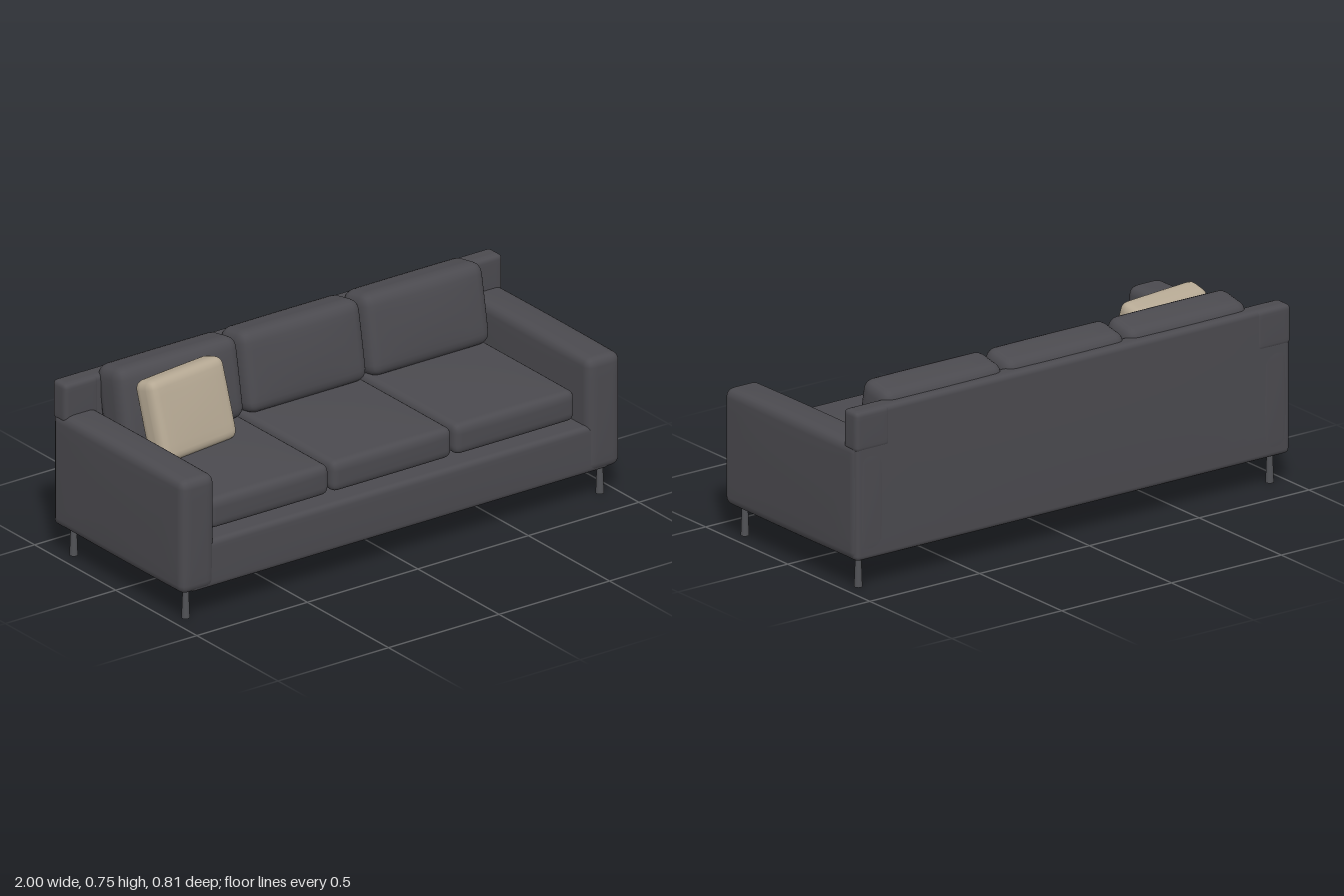
import * as THREE from 'three';
import { mergeVertices } from 'three/addons/utils/BufferGeometryUtils.js';

// Upholstered block: rounded edges of radius r, faces swollen by bulge = [x, y, z] fractions
function softBox(w, h, d, r, bulge = [0, 0, 0]) {
  const N = 16, E = 4; // E segments for each rounded edge
  const geo = new THREE.BoxGeometry(2, 2, 2, N, N, N);
  geo.deleteAttribute('uv');
  geo.deleteAttribute('normal');
  const half = [w / 2, h / 2, d / 2];
  const remap = (t, s) => {
    const k = Math.round((t + 1) / 2 * N);
    if (k <= E) return -s + r * (1 - Math.cos((k / E) * Math.PI / 2)) * 1;
    if (k >= N - E) return s - r * (1 - Math.cos(((N - k) / E) * Math.PI / 2));
    return (-s + r) + (2 * s - 2 * r) * (k - E) / (N - 2 * E);
  };
  const pos = geo.attributes.position;
  for (let i = 0; i < pos.count; i++) {
    const p = [pos.getX(i), pos.getY(i), pos.getZ(i)].map((t, a) => remap(t, half[a]));
    const inner = p.map((v, a) => THREE.MathUtils.clamp(v, r - half[a], half[a] - r));
    const out = new THREE.Vector3(...p.map((v, a) => v - inner[a])).setLength(r).toArray();
    const q = inner.map((v, a) => v + out[a]);
    const fall = q.map((v, a) => Math.max(0, 1 - (v / half[a]) ** 2));
    const s = q.map((v, a) => v * (1 + bulge[a] * fall[(a + 1) % 3] * fall[(a + 2) % 3]));
    pos.setXYZ(i, ...s);
  }
  const merged = mergeVertices(geo, 1e-5);
  merged.computeVertexNormals();
  return merged;
}

export function createModel() {
  const sofa = new THREE.Group();
  sofa.name = 'sofa';
  const mat = (name, color) => {
    const m = new THREE.MeshStandardMaterial({ color });
    m.name = name;
    return m;
  };
  const fabric = mat('charcoal fabric', 0x4b4a4f);
  const linen = mat('beige linen', 0xb5a893);
  const metal = mat('grey metal', 0x505155);

  const add = (name, geo, material, x, y, z) => {
    const mesh = new THREE.Mesh(geo, material);
    mesh.name = name;
    mesh.position.set(x, y, z);
    sofa.add(mesh);
    return mesh;
  };

  // Frame
  add('base', softBox(1.9, 0.19, 0.796, 0.022, [0, 0.03, 0.005]), fabric, 0, 0.21, 0);
  add('backrest', softBox(1.976, 0.58, 0.078, 0.02, [0, 0.004, 0.05]), fabric, 0, 0.408, -0.365);

  const armGeo = softBox(0.152, 0.452, 0.806, 0.034, [0.06, 0.03, 0.008]);
  const wingGeo = softBox(0.155, 0.155, 0.083, 0.018, [0.01, 0, 0.02]);
  const legGeo = new THREE.CylinderGeometry(0.011, 0.0155, 0.12, 20);
  for (const side of [-1, 1]) {
    const label = side > 0 ? 'left' : 'right';
    add(label + 'Arm', armGeo, fabric, side * 0.918, 0.343, 0);
    add(label + 'BackWing', wingGeo, fabric, side * 0.913, 0.619, -0.365);
    // Tapered legs
    for (const end of [-1, 1]) {
      add(label + (end > 0 ? 'FrontLeg' : 'BackLeg'), legGeo, metal, side * 0.937, 0.06, end * 0.345);
    }
  }

  // Seat and back cushions
  const seatGeo = softBox(0.545, 0.122, 0.68, 0.03, [0.006, 0.12, 0.008]);
  const backGeo = softBox(0.545, 0.315, 0.165, 0.045, [0.006, 0.01, 0.14]);
  for (let i = -1; i <= 1; i++) {
    add('seatCushion', seatGeo, fabric, i * 0.556, 0.377, 0.008);
    const back = add('backCushion', backGeo, fabric, i * 0.556, 0.583, -0.267);
    back.rotation.x = -0.18;
  }

  // Throw pillow leaning on the back cushion
  const pillow = add('throwPillow', softBox(0.37, 0.315, 0.108, 0.034, [0.01, 0.01, 0.12]), linen, -0.608, 0.583, -0.1);
  pillow.rotation.set(-0.28, 0.12, 0, 'YXZ');

  return sofa;
}
